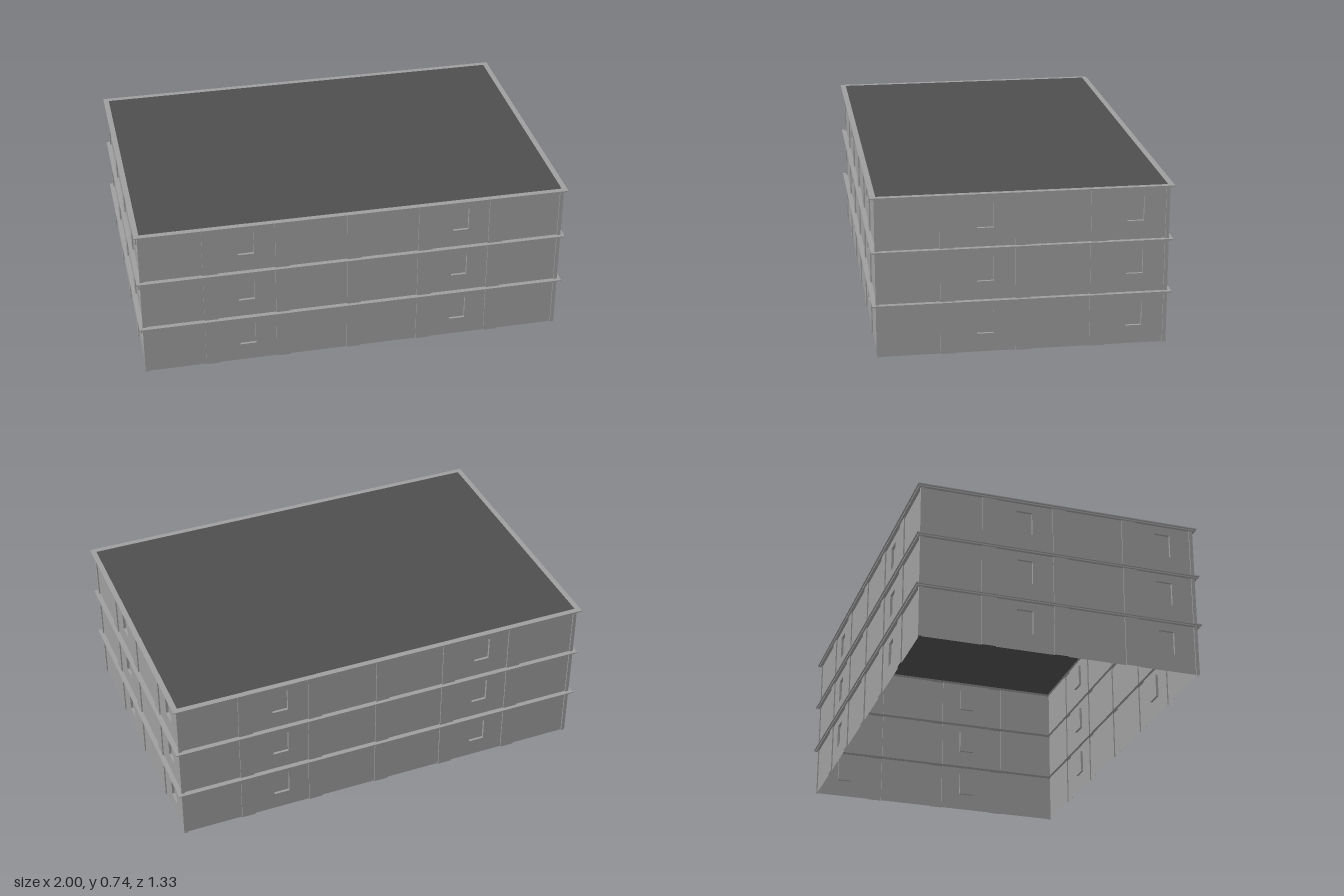
import * as THREE from 'three';

const wallGrey = new THREE.MeshStandardMaterial({ color: 0x9e9e9e, side: THREE.DoubleSide });
const roofGrey = new THREE.MeshStandardMaterial({ color: 0x4e4e4e, side: THREE.DoubleSide });

const FLOOR = 0.2465;            // storey height
const WALL_H = FLOOR - 0.011;    // wall below the ledge
const MODULE = 1 / 3;            // wall panel spacing
const STEP = 0.006;              // how far pilasters stand proud
const PILASTER = 0.033;          // half width
const WIN_W = 0.074, WIN_H = 0.112, WIN_Y = 0.085, WIN_D = 0.012;
const HALF_X = 0.984, HALF_Z = 0.65;

function add(parent, name, geometry, material, x = 0, y = 0, z = 0) {
  const mesh = new THREE.Mesh(geometry, material);
  mesh.name = name;
  mesh.position.set(x, y, z);
  parent.add(mesh);
  return mesh;
}

function rectPoints(Type, x0, y0, x1, y1) {
  const p = new Type();
  p.moveTo(x0, y0);
  p.lineTo(x1, y0);
  p.lineTo(x1, y1);
  p.lineTo(x0, y1);
  p.closePath();
  return p;
}

// Open flat-sided skin through rectangles given as [half width, half height, z]
function loft(sections) {
  const corners = [[-1, -1], [1, -1], [1, 1], [-1, 1]];
  const positions = [];
  const point = ([w, h, z], i) => [corners[i % 4][0] * w, corners[i % 4][1] * h, z];
  for (let s = 0; s + 1 < sections.length; s++) {
    for (let i = 0; i < 4; i++) {
      const a = point(sections[s], i), b = point(sections[s], i + 1);
      const c = point(sections[s + 1], i + 1), d = point(sections[s + 1], i);
      positions.push(...a, ...b, ...c, ...a, ...c, ...d);
    }
  }
  const g = new THREE.BufferGeometry();
  g.setAttribute('position', new THREE.Float32BufferAttribute(positions, 3));
  g.computeVertexNormals();
  return g;
}

// One storey of thin wall along local x, facing +z, its pilasters' face at z = 0
function wallStorey(half, modules, windows) {
  const group = new THREE.Group();
  group.name = 'wallStorey';

  // set-back panels, some with a recessed window
  for (let i = 0; i < modules; i++) {
    const c = (i - (modules - 1) / 2) * MODULE;
    const w = MODULE / 2 - PILASTER;
    const shape = rectPoints(THREE.Shape, -w, 0, w, WALL_H);
    if (windows.includes(i)) {
      shape.holes.push(rectPoints(THREE.Path, -WIN_W / 2, WIN_Y, WIN_W / 2, WIN_Y + WIN_H));
      const y = WIN_Y + WIN_H / 2;
      const reveal = loft([[WIN_W / 2, WIN_H / 2, -WIN_D], [WIN_W / 2, WIN_H / 2, 0]]);
      add(group, 'windowReveal', reveal, wallGrey, c, y, -STEP);
      add(group, 'windowPane', new THREE.PlaneGeometry(WIN_W, WIN_H), wallGrey, c, y, -STEP - WIN_D);
    }
    add(group, 'wallPanel', new THREE.ShapeGeometry(shape), wallGrey, c, 0, -STEP);
  }

  // pilasters over the joints, cut off at the corners of the building
  for (let i = 0; i <= modules; i++) {
    const c = (i - modules / 2) * MODULE;
    const x0 = Math.max(c - PILASTER, -half), x1 = Math.min(c + PILASTER, half);
    add(group, 'pilaster', new THREE.PlaneGeometry(x1 - x0, WALL_H), wallGrey,
      (x0 + x1) / 2, WALL_H / 2, 0);
    for (const x of [x0, x1]) {
      if (Math.abs(x) === half) continue;
      const side = add(group, 'pilasterSide', new THREE.PlaneGeometry(STEP, WALL_H), wallGrey,
        x, WALL_H / 2, -STEP / 2);
      side.rotation.y = x === x0 ? -Math.PI / 2 : Math.PI / 2;
    }
  }
  return group;
}

export function createModel() {
  const building = new THREE.Group();
  building.name = 'building';

  for (let f = 0; f < 3; f++) {
    const storey = new THREE.Group();
    storey.name = 'storey';
    storey.position.y = f * FLOOR;
    building.add(storey);

    // opposite walls are half-turn copies of each other
    for (const turn of [0, Math.PI]) {
      const pair = new THREE.Group();
      pair.name = turn ? 'backAndRightWalls' : 'frontAndLeftWalls';
      pair.rotation.y = turn;
      const long = wallStorey(HALF_X, 6, [1, 4]);
      long.position.z = HALF_Z;
      const short = wallStorey(HALF_Z, 4, [1, 3]);
      short.rotation.y = Math.PI / 2;
      short.position.x = HALF_X;
      pair.add(long, short);
      storey.add(pair);
    }

    // stepped ledge around the top of the storey, open towards the inside
    const ledge = loft([
      [0.975, 0.641, WALL_H], [0.992, 0.659, WALL_H], [0.992, 0.659, FLOOR - 0.005],
      [1, 0.667, FLOOR - 0.005], [1, 0.667, FLOOR], [0.975, 0.641, FLOOR],
    ]);
    add(storey, 'ledge', ledge.rotateX(-Math.PI / 2), wallGrey);
  }

  // flat roof inside the rim
  const roof = new THREE.PlaneGeometry(1.95, 1.282).rotateX(-Math.PI / 2);
  add(building, 'roof', roof, roofGrey, 0, 3 * FLOOR, 0);
  return building;
}
